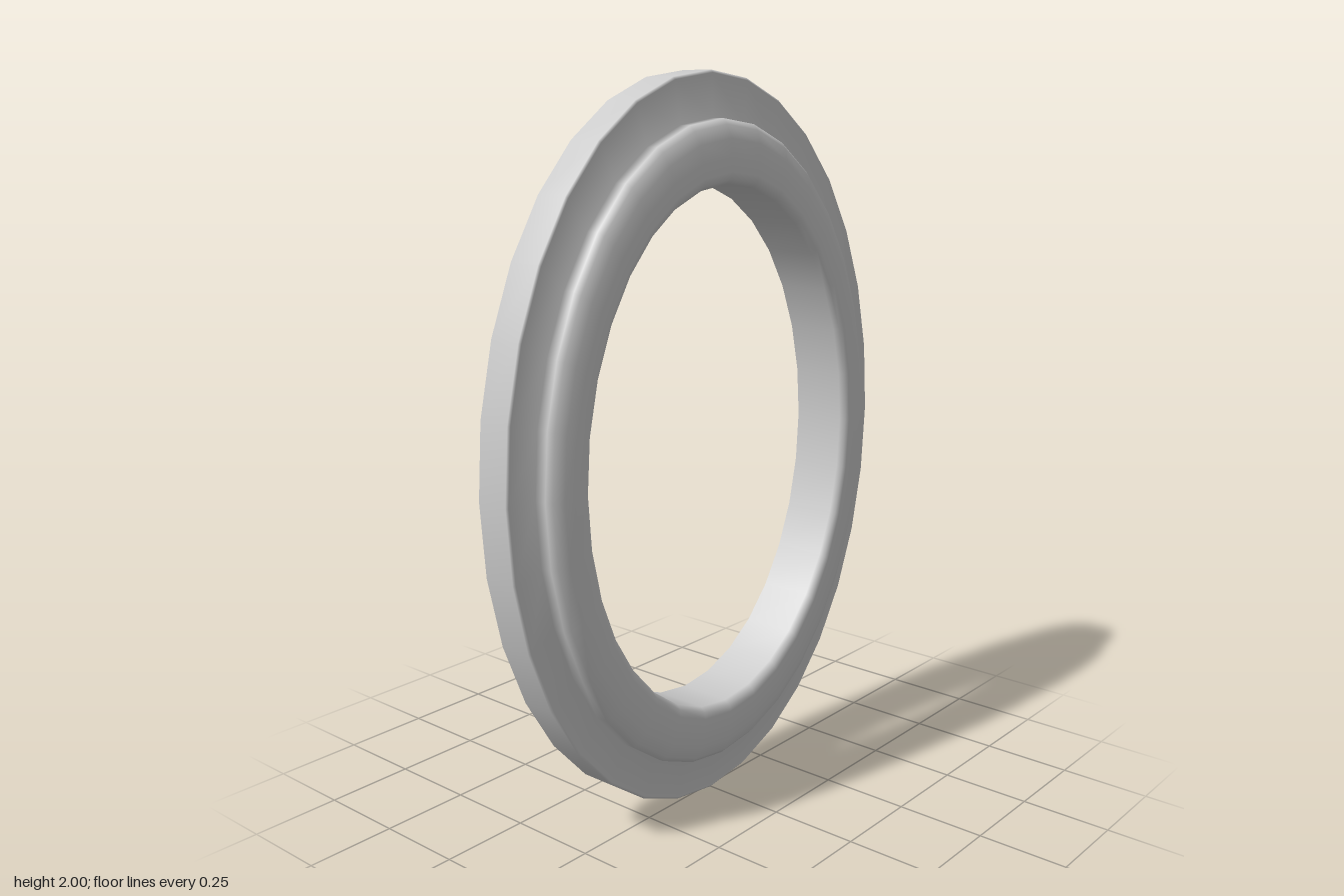
import * as THREE from 'three';

// Oval moulded frame: one closed profile swept around, then squeezed in x.
export function createModel() {
  const group = new THREE.Group();
  group.name = 'ovalFrame';

  // [radius, depth] from the back inner edge, around the outside, to the front and back through the opening
  const profile = [
    [0.715, -0.085], [0.99, -0.085], // flat back
    [1.0, -0.08], [1.0, 0.012], [0.993, 0.018], // outer rim
    [0.88, 0.018], // front ledge
    [0.88, 0.052], [0.865, 0.066], [0.83, 0.08], // raised step
    [0.785, 0.083], [0.745, 0.085], [0.727, 0.08], [0.715, 0.066], // rounded inner lip
    [0.715, -0.085], // opening wall
  ].map(([r, d]) => new THREE.Vector2(r, d));

  const geometry = new THREE.LatheGeometry(profile, 32);
  geometry.rotateX(Math.PI / 2);
  geometry.scale(0.745, 1, 1);
  geometry.translate(0, 1, 0);

  const frame = new THREE.Mesh(geometry, new THREE.MeshStandardMaterial({ color: 0xcccccc }));
  frame.name = 'frameMoulding';
  group.add(frame);
  return group;
}
